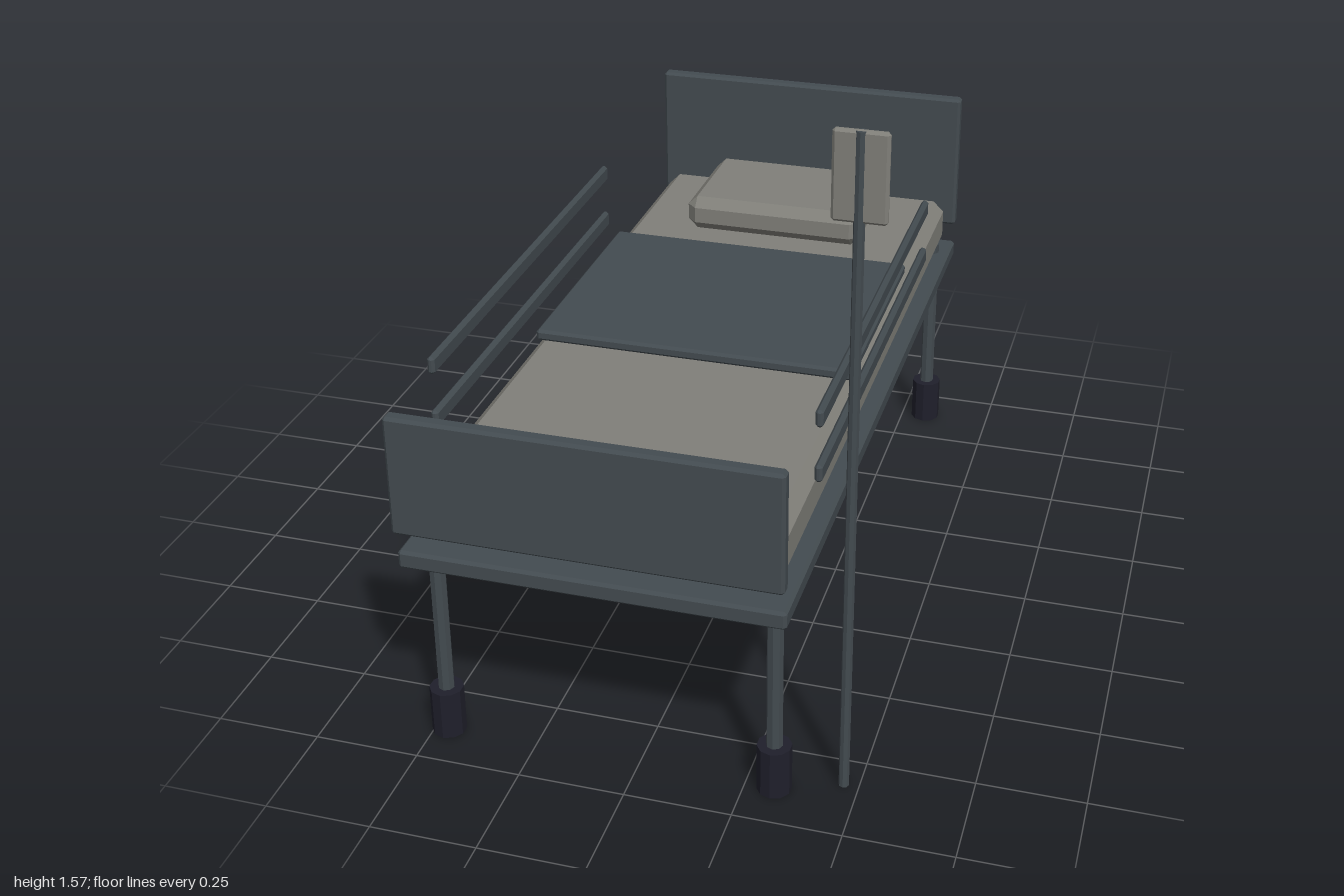
import * as THREE from 'three';
import { ConvexGeometry } from 'three/addons/geometries/ConvexGeometry.js';

const material = (name, color) => {
  const m = new THREE.MeshStandardMaterial({ color });
  m.name = name;
  return m;
};

// Box between two corners with every edge cut at 45 degrees
function chamferBox(min, max, c) {
  const lo = new THREE.Vector3(...min), hi = new THREE.Vector3(...max);
  const centre = lo.clone().add(hi).multiplyScalar(0.5);
  const half = hi.sub(lo).multiplyScalar(0.5);
  const points = [];
  for (const x of [-1, 1]) for (const y of [-1, 1]) for (const z of [-1, 1]) {
    for (let axis = 0; axis < 3; axis++) {
      const inset = [c, c, c];
      inset[axis] = 0;
      points.push(new THREE.Vector3(
        x * (half.x - inset[0]), y * (half.y - inset[1]), z * (half.z - inset[2])));
    }
  }
  return new ConvexGeometry(points).translate(centre.x, centre.y, centre.z);
}

export function createModel() {
  const slate = material('slate metal', 0x434b50);
  const fabric = material('grey fabric', 0x807f79);
  const rubber = material('dark rubber', 0x1f1f2b);
  const model = new THREE.Group();
  model.name = 'hospitalBed';

  const add = (name, geometry, mat) => {
    const mesh = new THREE.Mesh(geometry, mat);
    mesh.name = name;
    model.add(mesh);
  };
  const box = (name, min, max, c, mat) => add(name, chamferBox(min, max, c), mat);
  const post = (name, x, z, y0, y1, r, sides, mat) => {
    const g = new THREE.CylinderGeometry(r, r, y1 - y0, sides).toNonIndexed();
    g.computeVertexNormals();
    add(name, g.translate(x, (y0 + y1) / 2, z), mat);
  };

  // Frame and end boards
  box('frame', [-0.515, 0.495, -0.98], [0.365, 0.54, 0.98], 0.007, slate);
  box('headboard', [-0.515, 0.595, -1], [0.365, 0.98, -0.963], 0.007, slate);
  box('footboard', [-0.515, 0.595, 0.965], [0.365, 0.885, 1], 0.007, slate);

  // Bedding
  box('mattress', [-0.487, 0.55, -0.953], [0.337, 0.68, 0.953], 0.029, fabric);
  box('pillow', [-0.32, 0.68, -0.88], [0.17, 0.775, -0.54], 0.026, fabric);
  box('blanket', [-0.477, 0.684, -0.416], [0.327, 0.713, 0.215], 0.007, slate);

  // Two side rails on each side
  for (const side of [-1, 1]) for (const y of [0.735, 0.87]) {
    const x = -0.075 + side * 0.444;
    box('sideRail', [x - 0.009, y - 0.021, -0.44], [x + 0.009, y + 0.021, 0.735], 0.006, slate);
  }

  // Legs with wheel feet
  for (const x of [-0.467, 0.317]) for (const z of [-0.885, 0.885]) {
    post('leg', x, z, 0.06, 0.565, 0.019, 8, slate);
    post('foot', x, z, 0, 0.12, 0.04, 10, rubber);
  }

  // Drip stand
  post('dripPole', 0.465, 0.833, 0, 1.57, 0.012, 8, slate);
  box('dripBag', [0.408, 1.378, 0.825], [0.523, 1.572, 0.841], 0.006, fabric);
  return model;
}
